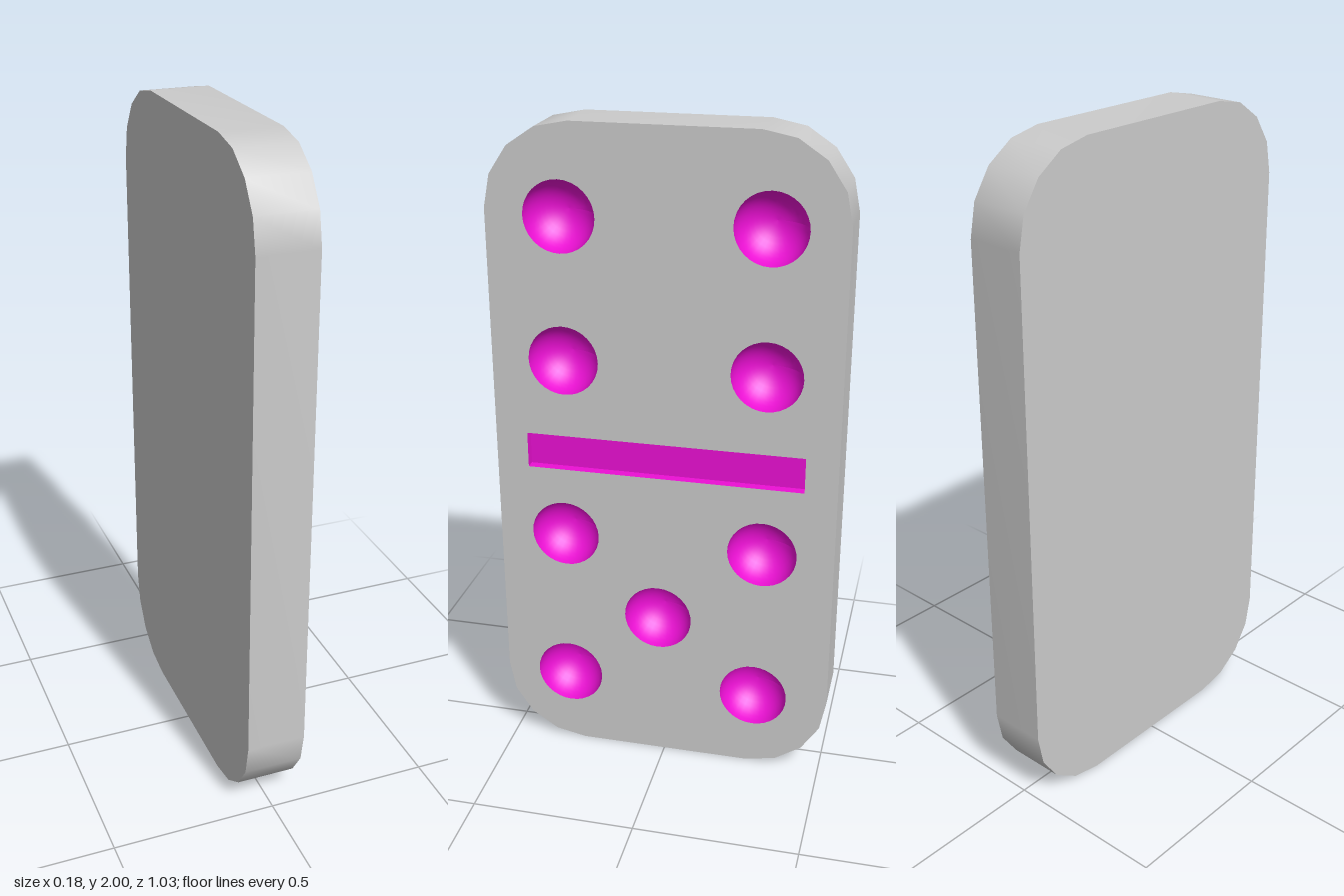
import * as THREE from 'three';

const W = 0.517, H = 2, T = 0.089, R = 0.25; // half width, height, half thickness, corner radius
const PIP_R = 0.105, SEG = 32;

// Rounded tile outline, counter-clockwise, four facets per corner
function outline() {
  const pts = [];
  const corners = [[W - R, R, -0.5], [W - R, H - R, 0], [R - W, H - R, 0.5], [R - W, R, 1]];
  for (const [cx, cy, start] of corners) {
    for (let i = 0; i <= 4; i++) {
      const a = (start + i / 8) * Math.PI;
      pts.push(new THREE.Vector2(cx + R * Math.cos(a), cy + R * Math.sin(a)));
    }
  }
  return pts;
}

// Smooth band joining the two faces along the outline
function rimGeometry(pts) {
  const pos = [], idx = [], n = pts.length;
  pts.forEach((p, i) => {
    pos.push(p.x, p.y, -T, p.x, p.y, T);
    const a = 2 * i, b = 2 * ((i + 1) % n);
    idx.push(a, b, b + 1, a, b + 1, a + 1);
  });
  const g = new THREE.BufferGeometry();
  g.setAttribute('position', new THREE.Float32BufferAttribute(pos, 3));
  g.setIndex(idx);
  g.computeVertexNormals();
  return g;
}

export function createModel() {
  const group = new THREE.Group();
  group.name = 'dominoTile';
  const tile = new THREE.Group();
  tile.name = 'tile';
  tile.rotation.y = Math.PI / 2; // marked face looks along +x
  group.add(tile);

  const grey = new THREE.MeshStandardMaterial({ color: 0xcccccc });
  const magenta = new THREE.MeshStandardMaterial({ color: 0xec10d4, side: THREE.DoubleSide });
  const add = (name, geometry, material) => {
    const mesh = new THREE.Mesh(geometry, material);
    mesh.name = name;
    tile.add(mesh);
    return mesh;
  };

  const pips = [
    [-0.3, 1.735], [0.3, 1.735], [-0.3, 1.31], [0.3, 1.31],
    [-0.31, 0.745], [0.3, 0.745], [-0.02, 0.485], [-0.31, 0.245], [0.285, 0.245],
  ];
  const groove = { w: 0.84, h: 0.11, y: 1.017, depth: 0.03 };

  // Marked face with openings for the pips and the groove
  const pts = outline();
  const face = new THREE.Shape(pts);
  for (const [x, y] of pips) {
    const ring = [];
    for (let i = 0; i < SEG; i++) {
      const a = (i / SEG) * Math.PI * 2;
      ring.push(new THREE.Vector2(x + PIP_R * Math.cos(a), y + PIP_R * Math.sin(a)));
    }
    face.holes.push(new THREE.Path(ring));
  }
  const gx = groove.w / 2, gy = groove.h / 2;
  face.holes.push(new THREE.Path([[-gx, -gy], [gx, -gy], [gx, gy], [-gx, gy]]
    .map(([x, y]) => new THREE.Vector2(x, groove.y + y))));
  add('markedFace', new THREE.ShapeGeometry(face), grey).position.z = T;

  // Plain back and rim
  const back = new THREE.ShapeGeometry(new THREE.Shape(pts)).rotateY(Math.PI);
  add('plainFace', back, grey).position.z = -T;
  add('rim', rimGeometry(pts), grey);

  // Hemispherical pips sunk into the face
  const bowl = new THREE.SphereGeometry(PIP_R, SEG, 10, 0, Math.PI * 2, Math.PI / 2, Math.PI / 2);
  bowl.scale(-1, -1, -1).rotateX(-Math.PI / 2); // turned inside out
  bowl.computeVertexNormals();
  for (const [x, y] of pips) add('pip', bowl, magenta).position.set(x, y, T);

  // Dividing groove: a shallow box without its outer side
  const box = new THREE.BoxGeometry(groove.w, groove.h, groove.depth);
  const sides = Array.from(box.index.array);
  sides.splice(24, 6);
  box.setIndex(sides.reverse()); // faces look inward
  box.clearGroups();
  box.computeVertexNormals();
  add('dividingGroove', box, magenta).position.set(0, groove.y, T - groove.depth / 2);

  return group;
}
